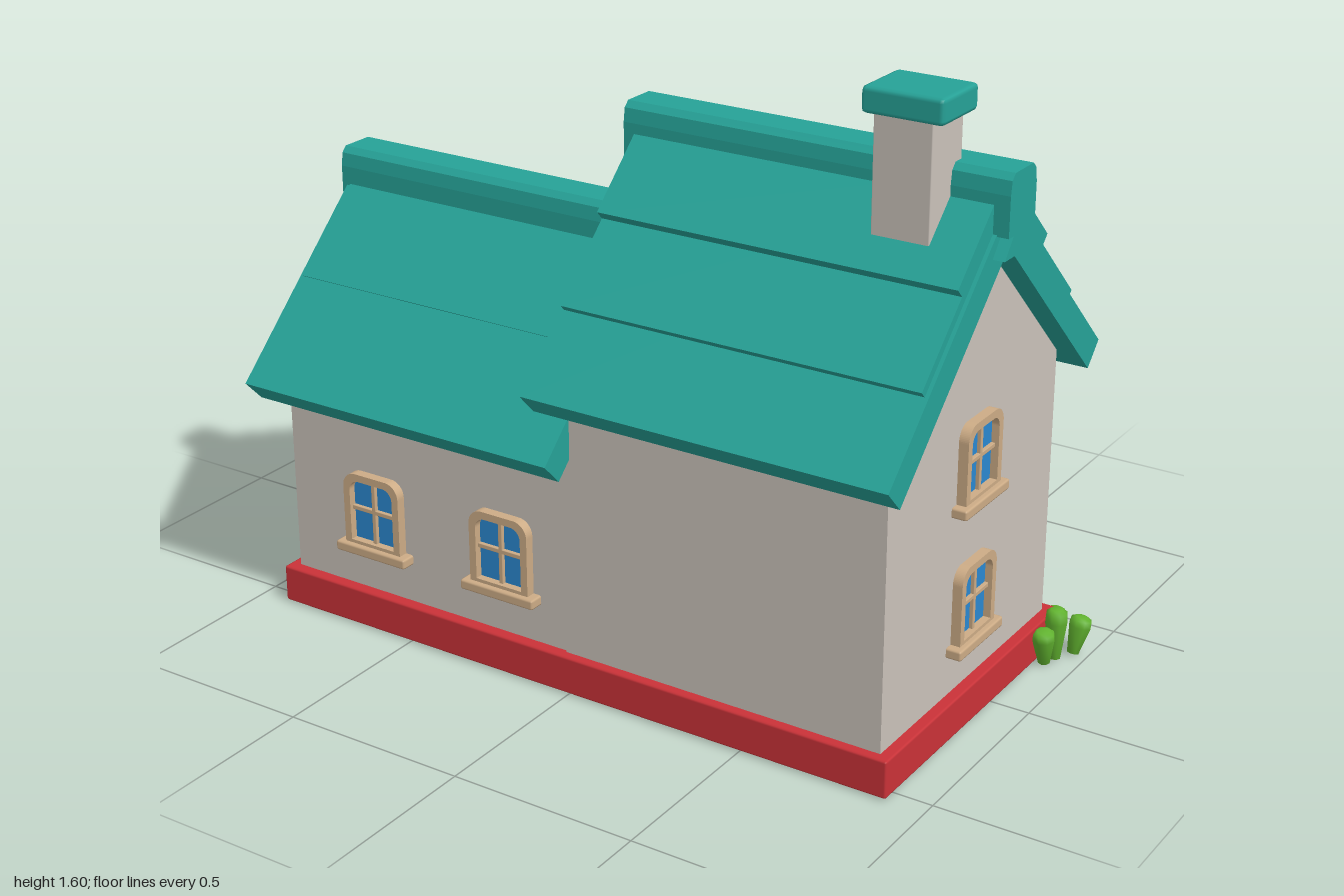
import * as THREE from 'three';
import { RoundedBoxGeometry } from 'three/addons/geometries/RoundedBoxGeometry.js';

const paint = (name, color) => {
  const m = new THREE.MeshStandardMaterial({ color });
  m.name = name;
  return m;
};

export function createModel() {
  const teal = paint('roof teal', 0x26a297);
  const plaster = paint('wall plaster', 0xcac2ba);
  const red = paint('base red', 0xca3238);
  const beige = paint('trim beige', 0xcdac86);
  const blue = paint('glass blue', 0x2b88d0);
  const brown = paint('wood brown', 0xb86632);
  const darkBrown = paint('door brown', 0x995424);
  const grey = paint('garage grey', 0x9799a4);
  const green = paint('leaf green', 0x62b430);

  const house = new THREE.Group();
  house.name = 'house';

  const add = (parent, name, geo, mat, x = 0, y = 0, z = 0) => {
    const mesh = new THREE.Mesh(geo, mat);
    mesh.name = name;
    mesh.position.set(x, y, z);
    parent.add(mesh);
    return mesh;
  };
  const group = (name, x, y, z, turn = 0) => {
    const g = new THREE.Group();
    g.name = name;
    g.position.set(x, y, z);
    g.rotation.y = turn;
    house.add(g);
    return g;
  };
  // Softened block given by its extents
  const block = (parent, name, mat, x0, x1, y0, y1, z0, z1, r = 0.006) =>
    add(parent, name, new RoundedBoxGeometry(x1 - x0, y1 - y0, z1 - z0, 1, r), mat,
      (x0 + x1) / 2, (y0 + y1) / 2, (z0 + z1) / 2);
  const extrude = (shape, depth) =>
    new THREE.ExtrudeGeometry(shape, { depth, bevelEnabled: false, curveSegments: 8 });
  // Symmetric profile: half given from top centre down, the rest mirrored
  const mirrored = (half) => new THREE.Shape([
    ...half.map(([a, y]) => new THREE.Vector2(a, y)),
    ...half.filter(([a]) => a > 0).reverse().map(([a, y]) => new THREE.Vector2(-a, y)),
  ]);
  // Extrusion along x between x0 and x1
  const alongX = (half, x0, x1) =>
    extrude(mirrored(half), x1 - x0).rotateY(Math.PI / 2).translate(x0, 0, 0);

  // Roof layer profile: eave half-width w, eave height y, slope m, thickness t
  const chevron = (w, y, m, t) => {
    const a = Math.atan(m), dx = t * Math.sin(a), dy = t * Math.cos(a);
    const under = y + w * m - t / Math.cos(a);
    const s = new THREE.Shape();
    s.moveTo(0, y + w * m);
    [[w, y], [w - dx, y - dy], [0, under], [dx - w, y - dy], [-w, y]].forEach((p) => s.lineTo(...p));
    return s;
  };
  // Ridge cap profile with a flared foot
  const capProfile = (top, k = 1) => [
    [0, top], [0.045 * k, top], [0.06 * k, top - 0.015 * k], [0.065 * k, top - 0.05 * k],
    [0.065 * k, top - 0.15 * k], [0.04 * k, top - 0.15 * k], [0.08 * k, top - 0.2 * k],
    [0, top - 0.2 * k]];

  // Base slabs
  block(house, 'baseTall', red, -0.06, 0.9, 0, 0.1, -0.365, 0.545);
  block(house, 'baseLow', red, -0.92, 0.1, 0, 0.1, -0.295, 0.545);
  block(house, 'porchFloor', red, 0.02, 0.47, 0, 0.1, -0.585, -0.3);

  // Gabled walls
  add(house, 'tallWalls', alongX([[0, 1.24], [0.425, 0.83], [0.425, 0.09]], -0.02, 0.87), plaster, 0, 0, 0.095);
  add(house, 'lowWalls', alongX([[0, 1.025], [0.387, 0.652], [0.387, 0.09]], -0.89, 0), plaster, 0, 0, 0.127);

  // Stepped roofs with ridge caps
  const roof = (name, z, x0, x1, tiers, top, c0, c1) => {
    const g = group(name, 0, 0, z);
    tiers.forEach(([w, y], i) => {
      const inset = i ? 0.01 : 0;
      add(g, 'roofTier', extrude(chevron(w, y, 0.96, 0.08), x1 - x0 - inset * 2)
        .rotateY(Math.PI / 2).translate(x0 + inset, 0, 0), teal);
    });
    add(g, 'ridgeCap', alongX(capProfile(top), c0, c1), teal);
  };
  roof('tallRoof', 0.095, -0.06, 0.93, [[0.538, 0.82], [0.38, 1.0], [0.225, 1.19]], 1.42, -0.08, 0.96);
  roof('lowRoof', 0.123, -0.945, 0, [[0.497, 0.645], [0.267, 0.87]], 1.16, -0.96, -0.01);

  // Chimney
  block(house, 'chimney', plaster, 0.66, 0.81, 1.1, 1.54, 0.11, 0.255, 0.003);
  block(house, 'chimneyCap', teal, 0.63, 0.84, 1.535, 1.6, 0.095, 0.265, 0.012);

  // Rectangle with rounded top corners
  const arch = (w, y0, h, r, Kind = THREE.Shape) => {
    const s = new Kind();
    s.moveTo(-w / 2, y0);
    s.lineTo(w / 2, y0);
    s.lineTo(w / 2, h - r);
    s.absarc(w / 2 - r, h - r, r, 0, Math.PI / 2, false);
    s.absarc(r - w / 2, h - r, r, Math.PI / 2, Math.PI, false);
    s.lineTo(-w / 2, y0);
    return s;
  };
  const frame = (w, h, bar, r, y0, foot) => {
    const s = arch(w, y0, h, r);
    s.holes.push(arch(w - 2 * bar, y0 + foot, h - bar, r - bar / 2, THREE.Path));
    return s;
  };

  // Windows
  const addWindow = (x, y, z, turn) => {
    const g = group('window', x, y, z, turn);
    add(g, 'windowFrame', extrude(frame(0.178, 0.225, 0.02, 0.04, 0.02, 0.016), 0.026), beige);
    add(g, 'glass', extrude(arch(0.15, 0.03, 0.21, 0.03), 0.006), blue);
    block(g, 'mullion', beige, -0.006, 0.006, 0.03, 0.21, 0, 0.016, 0.002);
    block(g, 'transom', beige, -0.07, 0.07, 0.118, 0.13, 0, 0.016, 0.002);
    block(g, 'sill', beige, -0.112, 0.112, 0, 0.027, -0.005, 0.04);
  };
  for (const x of [-0.615, -0.21]) addWindow(x, 0.205, 0.514, 0);
  for (const y of [0.205, 0.575]) {
    addWindow(0.87, y, 0.095, Math.PI / 2);
    addWindow(0.68, y, -0.33, Math.PI);
  }
  addWindow(-0.89, 0.245, 0.127, -Math.PI / 2);

  // Arched front door
  const door = group('door', 0.245, 0.1, -0.33, Math.PI);
  add(door, 'doorFrame', extrude(frame(0.26, 0.37, 0.035, 0.12, 0, 0.004), 0.032), brown);
  add(door, 'doorPanel', extrude(arch(0.2, 0, 0.345, 0.1), 0.01), darkBrown);
  for (const [x, h] of [[-0.064, 0.3], [0, 0.33], [0.064, 0.3]])
    block(door, 'doorPlank', darkBrown, x - 0.029, x + 0.029, 0.005, h, 0, 0.016, 0.004);
  for (const y of [0.08, 0.24])
    block(door, 'hinge', brown, 0.02, 0.095, y, y + 0.014, 0.005, 0.02, 0.002);
  add(door, 'doorKnob', new THREE.SphereGeometry(0.011, 8, 6), beige, -0.07, 0.16, 0.022);

  // Garage door
  const garage = group('garage', -0.447, 0.1, -0.26, Math.PI);
  add(garage, 'garageFrame', extrude(frame(0.49, 0.425, 0.04, 0.055, 0, 0.004), 0.04), red);
  add(garage, 'garageBacking', extrude(arch(0.42, 0, 0.39, 0.03), 0.008), grey);
  for (let i = 0; i < 4; i++) {
    const slat = block(garage, 'garageSlat', grey, -0.205, 0.205, i * 0.096 + 0.004, i * 0.096 + 0.096, 0.002, 0.02, 0.004);
    slat.rotation.x = 0.08;
  }
  block(garage, 'lamp', brown, -0.065, 0.065, 0.455, 0.5, -0.01, 0.05);

  // Porch: posts, roof and steps
  const porch = group('porch', 0.245, 0, 0);
  for (const x of [-0.165, 0.165]) {
    block(porch, 'post', brown, x - 0.036, x + 0.036, 0.1, 0.6, -0.541, -0.469);
    block(porch, 'postFoot', brown, x - 0.05, x + 0.05, 0.1, 0.182, -0.555, -0.455, 0.008);
    block(porch, 'postHead', brown, x - 0.045, x + 0.045, 0.545, 0.59, -0.55, -0.46);
  }
  add(porch, 'porchRoof', extrude(chevron(0.275, 0.56, 0.8, 0.05), 0.3), teal, 0, 0, -0.602);
  add(porch, 'porchRidgeCap', extrude(mirrored(capProfile(0.792, 0.62)), 0.32), teal, 0, 0, -0.62);
  block(porch, 'lowerStep', beige, -0.118, 0.118, 0, 0.046, -0.635, -0.56);
  block(porch, 'upperStep', beige, -0.105, 0.105, 0.046, 0.095, -0.61, -0.56);

  // Leafy plants: leaning tapered stalks [x, z, height, lean x, lean z]
  const plant = (name, stalks) => {
    const g = group(name, 0, 0, 0);
    for (const [x, z, h, lx, lz] of stalks) {
      const profile = [[0, 0], [0.016, 0], [0.03, h * 0.75], [0.028, h * 0.93], [0.016, h], [0, h]]
        .map(([r, y]) => new THREE.Vector2(r, y));
      const stalk = add(g, 'stalk', new THREE.LatheGeometry(profile, 8), green, x, 0, z);
      stalk.rotation.set(lz, 0, -lx);
    }
  };
  plant('rightPlant', [[0.932, -0.285, 0.138, 0, 0], [0.96, -0.335, 0.1, 0.12, -0.2], [0.92, -0.25, 0.095, 0, 0.15], [0.9, -0.345, 0.1, -0.1, -0.2]]);
  plant('leftPlant', [[-0.925, -0.325, 0.128, 0, 0], [-0.96, -0.28, 0.096, -0.12, 0], [-0.9, -0.35, 0.09, 0.08, -0.12]]);

  return house;
}
